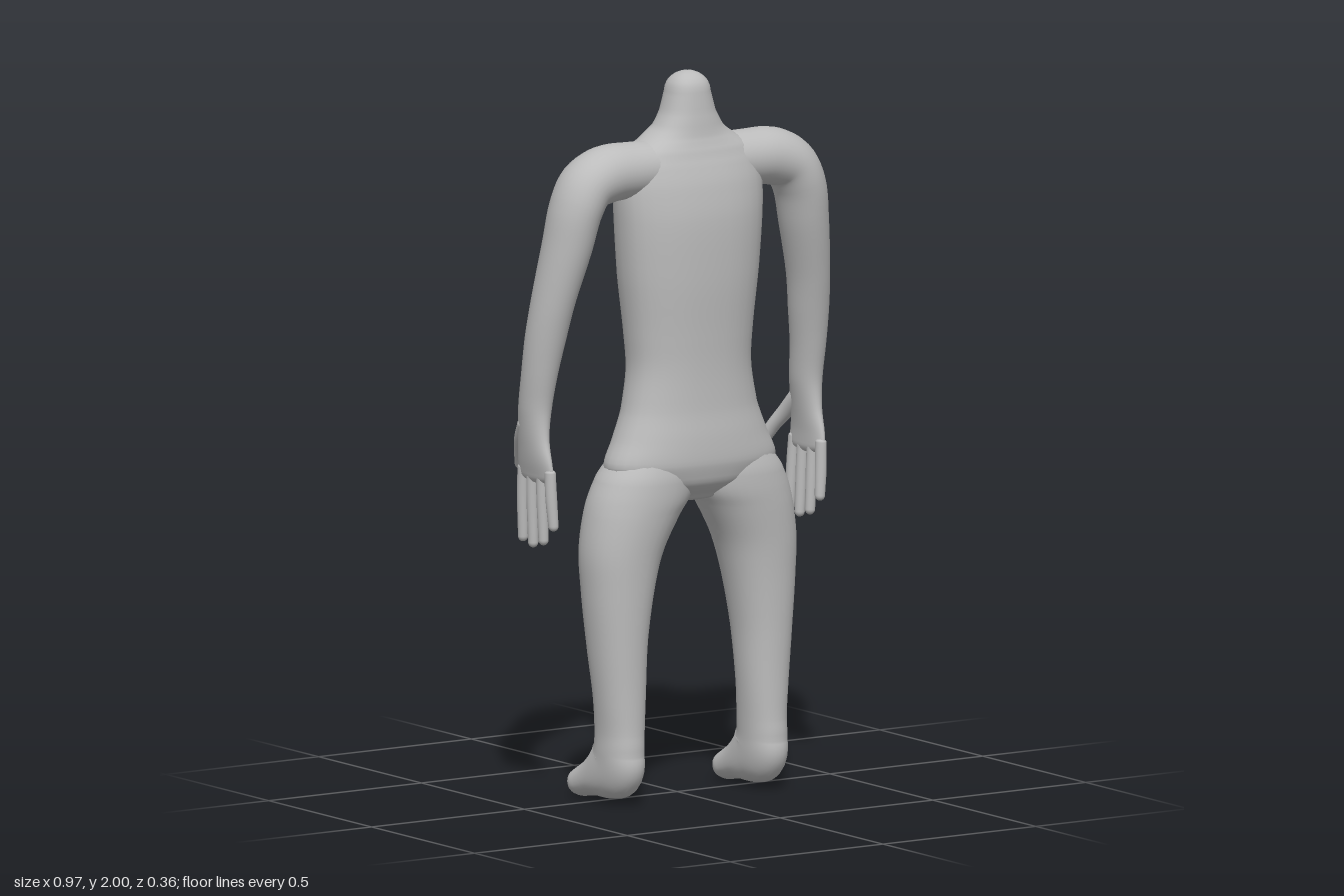
import * as THREE from 'three';

const SIDES = 32;
const X_AXIS = new THREE.Vector3(1, 0, 0);
const Z_AXIS = new THREE.Vector3(0, 0, 1);

// Smooth skin through rings [x, y, z, half size along axis, half size across it],
// with a rounded cap of the given length at each end.
function loft(rings, axis, { steps = 5, power = 2, caps = [0.02, 0.02] } = {}) {
  const centres = new THREE.CatmullRomCurve3(rings.map(r => new THREE.Vector3(r[0], r[1], r[2])));
  const sizes = new THREE.CatmullRomCurve3(rings.map(r => new THREE.Vector3(r[3], r[4], 0)));
  const positions = [], index = [];
  let rows = 0;

  function addRow(t, push, scale) {
    const tangent = centres.getTangent(t);
    const centre = centres.getPoint(t).addScaledVector(tangent, push);
    const size = sizes.getPoint(t).multiplyScalar(scale);
    const across = new THREE.Vector3().crossVectors(tangent, axis).normalize();
    const round = v => Math.sign(v) * Math.abs(v) ** (2 / power);
    for (let j = 0; j < SIDES; j++) {
      const angle = j / SIDES * Math.PI * 2;
      const p = centre.clone()
        .addScaledVector(axis, size.x * round(Math.cos(angle)))
        .addScaledVector(across, size.y * round(Math.sin(angle)));
      positions.push(p.x, p.y, p.z);
    }
    rows++;
  }

  const capSteps = 6, count = (rings.length - 1) * steps;
  const capAngle = k => k / capSteps * Math.PI / 2 * 0.995;
  for (let k = capSteps; k > 0; k--) addRow(0, -caps[0] * Math.sin(capAngle(k)), Math.cos(capAngle(k)));
  for (let i = 0; i <= count; i++) addRow(i / count, 0, 1);
  for (let k = 1; k <= capSteps; k++) addRow(1, caps[1] * Math.sin(capAngle(k)), Math.cos(capAngle(k)));

  for (let i = 0; i < rows - 1; i++) {
    for (let j = 0; j < SIDES; j++) {
      const a = i * SIDES + j, b = i * SIDES + (j + 1) % SIDES;
      index.push(a, b, b + SIDES, a, b + SIDES, a + SIDES);
    }
  }
  const geometry = new THREE.BufferGeometry();
  geometry.setAttribute('position', new THREE.Float32BufferAttribute(positions, 3));
  geometry.setIndex(index);
  geometry.computeVertexNormals();
  return geometry;
}

// Upright ring from its x range, and its far and near z limits
const slab = (y, x0, x1, zMax, zMin) =>
  [(x0 + x1) / 2, y, (zMax + zMin) / 2, (x1 - x0) / 2, (zMax - zMin) / 2];

export function createModel() {
  const model = new THREE.Group();
  model.name = 'headlessFigure';
  const skin = new THREE.MeshStandardMaterial({ color: 0xbcbcbc });
  skin.name = 'plain grey';

  function add(parent, name, geometry) {
    const mesh = new THREE.Mesh(geometry, skin);
    mesh.name = name;
    parent.add(mesh);
  }

  // Torso and neck stump: y, half width, z limits
  const torso = [
    [0.84, 0.10, 0.125, 0.0], [0.88, 0.22, 0.165, -0.04], [0.93, 0.265, 0.178, -0.058],
    [1.0, 0.235, 0.176, -0.06], [1.08, 0.204, 0.168, -0.056], [1.2, 0.185, 0.166, -0.058],
    [1.3, 0.192, 0.17, -0.065], [1.45, 0.21, 0.178, -0.074], [1.6, 0.222, 0.178, -0.072],
    [1.69, 0.226, 0.165, -0.064], [1.75, 0.218, 0.148, -0.054], [1.79, 0.19, 0.136, -0.044],
    [1.82, 0.142, 0.127, -0.034], [1.85, 0.102, 0.121, -0.024], [1.89, 0.078, 0.115, -0.017],
    [1.945, 0.062, 0.108, -0.01],
  ].map(([y, a, zMax, zMin]) => slab(y, -a, a, zMax, zMin));
  add(model, 'torsoAndNeck', loft(torso, X_AXIS, { power: 2.3, caps: [0.02, 0.055] }));

  for (const [side, s] of [['left', 1], ['right', -1]]) {
    const mirror = rings => rings.map(([x, ...rest]) => [s * x, ...rest]);

    // Leg running down from the hip and bending forward into the foot
    const leg = [
      slab(0.97, 0.03, 0.225, 0.15, -0.035), slab(0.9, 0.005, 0.283, 0.168, -0.055),
      slab(0.85, 0.012, 0.306, 0.169, -0.06), slab(0.8, 0.045, 0.32, 0.166, -0.062),
      slab(0.7, 0.1, 0.333, 0.158, -0.058), slab(0.6, 0.13, 0.329, 0.152, -0.047),
      slab(0.45, 0.156, 0.316, 0.146, -0.03), slab(0.3, 0.166, 0.301, 0.143, -0.012),
      slab(0.2, 0.172, 0.293, 0.144, -0.014),
      [0.234, 0.15, 0.065, 0.06, 0.082], [0.234, 0.113, 0.056, 0.06, 0.096],
      [0.235, 0.088, 0.02, 0.06, 0.081], [0.236, 0.064, -0.037, 0.059, 0.053],
      [0.237, 0.046, -0.085, 0.059, 0.042],
    ];
    add(model, side + 'LegAndFoot', loft(mirror(leg), X_AXIS, { power: 2.15, caps: [0.04, 0.042] }));

    // Arm from the shoulder to the palm
    const arm = new THREE.Group();
    arm.name = side + 'Arm';
    model.add(arm);
    const armRings = [
      [0.08, 1.742, 0.05, 0.078, 0.074], [0.19, 1.742, 0.05, 0.08, 0.077],
      [0.27, 1.738, 0.05, 0.082, 0.079], [0.33, 1.712, 0.05, 0.084, 0.074],
      [0.364, 1.655, 0.05, 0.083, 0.07], [0.387, 1.55, 0.04, 0.077, 0.066],
      [0.417, 1.4, 0.017, 0.066, 0.058], [0.43, 1.3, 0.0, 0.06, 0.055],
      [0.439, 1.2, -0.016, 0.055, 0.048], [0.443, 1.1, -0.033, 0.055, 0.041],
      [0.446, 1.02, -0.035, 0.063, 0.03], [0.446, 0.96, -0.028, 0.076, 0.022],
      [0.443, 0.92, -0.026, 0.083, 0.017],
    ];
    add(arm, side + 'ArmAndPalm', loft(mirror(armRings), Z_AXIS, { caps: [0.02, 0.025] }));

    // Four fingers: root z, tip z, tip height
    const fingers = [[0.04, 0.046, 0.77], [0.0, -0.002, 0.725], [-0.047, -0.052, 0.712], [-0.09, -0.101, 0.722]];
    fingers.forEach(([rootZ, tipZ, tipY], i) => {
      const finger = [
        [0.443, 0.93, rootZ, 0.017, 0.015], [0.441, 0.86, (rootZ + tipZ) / 2, 0.016, 0.016],
        [0.436, tipY + 0.015, tipZ, 0.014, 0.014],
      ];
      add(arm, side + 'Finger' + (i + 1), loft(mirror(finger), Z_AXIS, { caps: [0.01, 0.015] }));
    });

    // Thumb, splayed forward and inward
    const thumb = [
      [0.447, 1.05, -0.065, 0.03, 0.024], [0.433, 1.0, -0.108, 0.026, 0.021],
      [0.413, 0.955, -0.143, 0.022, 0.018], [0.4, 0.922, -0.163, 0.02, 0.017],
    ];
    add(arm, side + 'Thumb', loft(mirror(thumb), X_AXIS, { caps: [0.02, 0.018] }));
  }
  return model;
}
